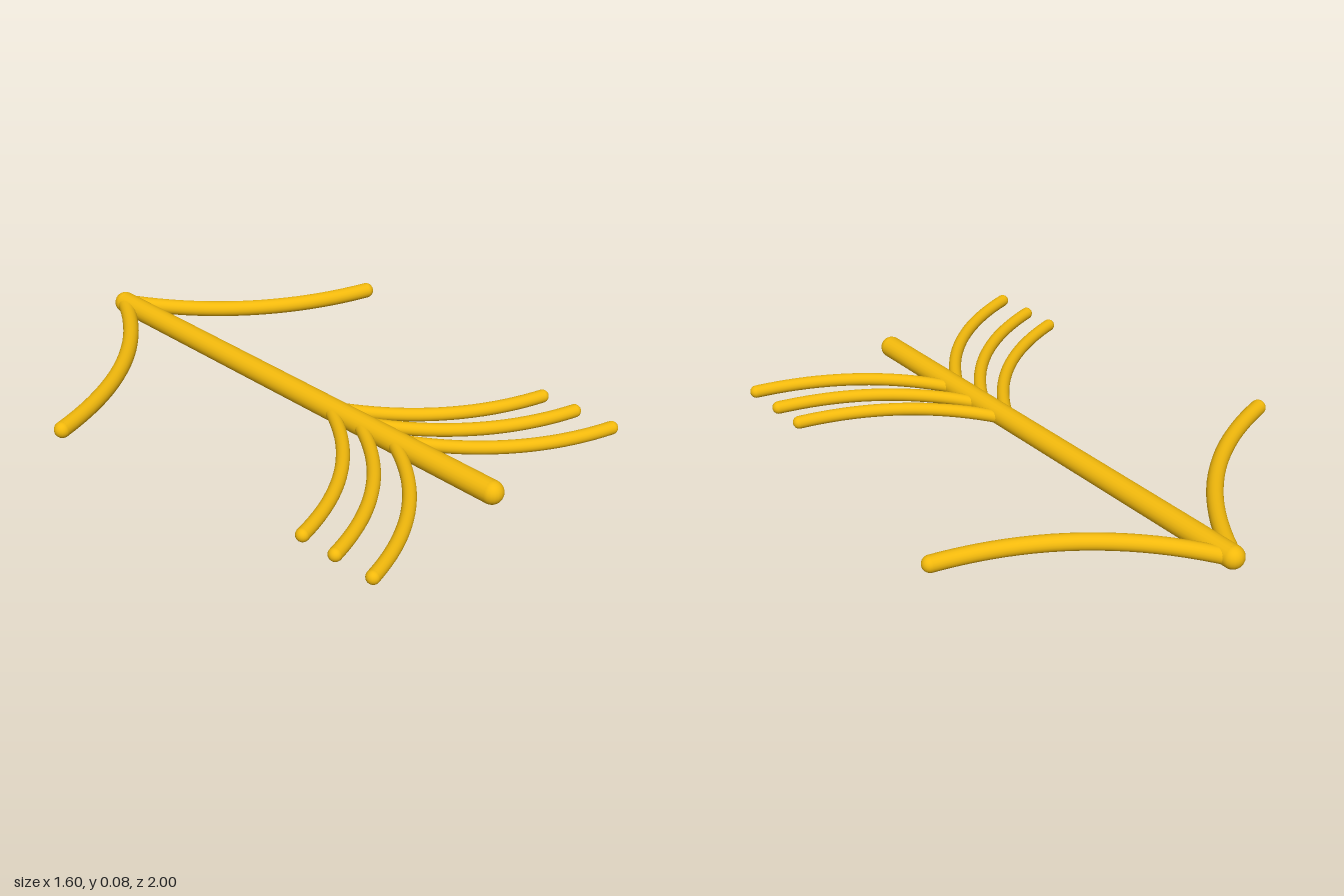
import * as THREE from 'three';

const Y = 0.042;
const material = new THREE.MeshStandardMaterial({ color: 0xf2b90c });

// Rounded rod swept along a curve, with a sphere on each end
function roundedRod(name, curve, radius, segments) {
  const rod = new THREE.Group();
  rod.name = name;
  const tube = new THREE.Mesh(new THREE.TubeGeometry(curve, segments, radius, 20), material);
  tube.name = name + 'Tube';
  rod.add(tube);
  for (const t of [0, 1]) {
    const cap = new THREE.Mesh(new THREE.SphereGeometry(radius, 20, 14), material);
    cap.name = name + 'Cap';
    cap.position.copy(curve.getPoint(t));
    rod.add(cap);
  }
  return rod;
}

// Branch that leaves the shaft at zStart and sweeps outward and forward
function branch(name, side, zStart, scale, radius) {
  const point = (x, z) => new THREE.Vector3(side * x * scale, Y, zStart + z * scale);
  const curve = new THREE.QuadraticBezierCurve3(point(0, 0), point(0.25, 0.47), point(0.77, 0.61));
  return roundedRod(name, curve, radius, 20);
}

export function createModel() {
  const arrow = new THREE.Group();
  arrow.name = 'arrow';

  // Straight shaft
  const shaftLine = new THREE.LineCurve3(new THREE.Vector3(0, Y, -0.958), new THREE.Vector3(0, Y, 0.935));
  arrow.add(roundedRod('shaft', shaftLine, 0.042, 1));

  // Mirrored head barbs and three pairs of tail feathers
  for (const [side, label] of [[1, 'left'], [-1, 'right']]) {
    arrow.add(branch(label + 'Barb', side, -0.965, 1, 0.03));
    [0.19, 0.333, 0.492].forEach((z, i) => {
      arrow.add(branch(label + 'Feather' + (i + 1), side, z, 0.79, 0.024));
    });
  }
  return arrow;
}
